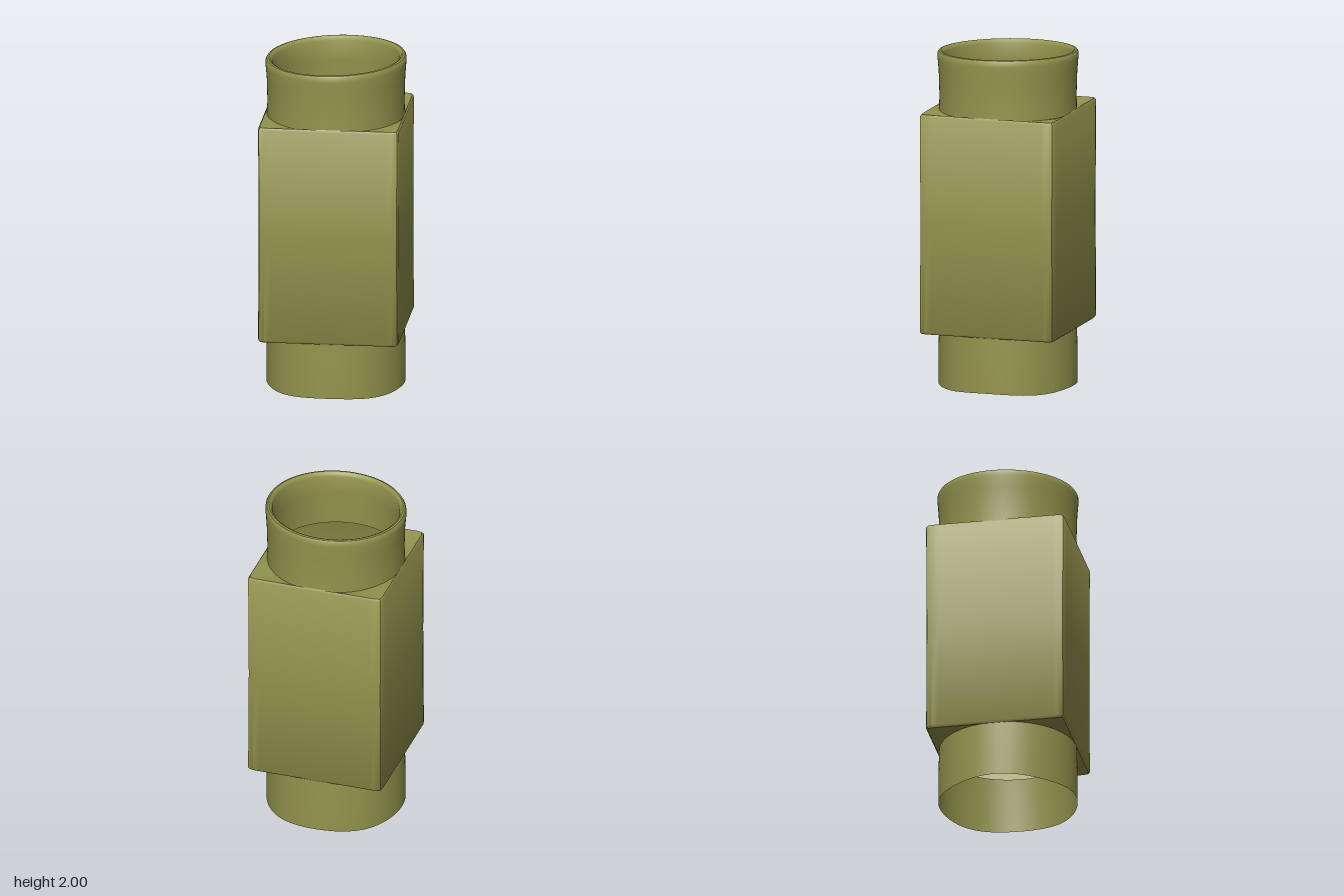
import * as THREE from 'three';
import { toCreasedNormals } from 'three/addons/utils/BufferGeometryUtils.js';

const SEG = 128;

// Distance from the axis: p = 2 gives a circle, a large p a rounded square
const radius = (r, p, t) =>
  r / Math.pow(Math.abs(Math.sin(t)) ** p + Math.abs(Math.cos(t)) ** p, 1 / p);

// Skin a stack of rings [y, radius, exponent, uneven(t)] into an open shell
function loft(rings) {
  const pos = [], index = [];
  for (const [y, r, p, uneven] of rings) {
    for (let j = 0; j <= SEG; j++) {
      const t = (j / SEG) * Math.PI * 2, d = radius(r, p, t);
      pos.push(d * Math.sin(t), y + (uneven ? uneven(t) : 0), d * Math.cos(t));
    }
  }
  for (let i = 0; i < rings.length - 1; i++) {
    for (let j = 0; j < SEG; j++) {
      const a = i * (SEG + 1) + j, b = a + SEG + 1;
      index.push(a, a + 1, b + 1, a, b + 1, b);
    }
  }
  const geo = new THREE.BufferGeometry();
  geo.setAttribute('position', new THREE.Float32BufferAttribute(pos, 3));
  geo.setIndex(index);
  return toCreasedNormals(geo, 0.7);
}

export function createModel() {
  const group = new THREE.Group();
  const olive = new THREE.MeshStandardMaterial({ color: 0x94944e, side: THREE.DoubleSide });
  olive.name = 'olive';

  const add = (name, rings) => {
    const mesh = new THREE.Mesh(loft(rings), olive);
    mesh.name = name;
    group.add(mesh);
  };

  // Slightly sloping top rim and wavy bottom edge
  const tilt = t => 0.012 * Math.sin(t) - 0.007 * Math.cos(t);
  const wave = t => 0.006 - 0.006 * Math.cos(4 * t + Math.PI);

  // Square hollow body with softened edges and flat shoulders
  add('squareBody', [
    [0.35, 0.402, 2],
    [0.345, 0.404, 40],
    [0.358, 0.413, 40],
    [1.0, 0.41, 40],
    [1.636, 0.413, 40],
    [1.65, 0.404, 40],
    [1.635, 0.402, 2],
  ]);

  // Thin round collar, open below
  add('lowerCollar', [
    [0.004, 0.406, 2, wave],
    [0.18, 0.406, 2],
    [0.35, 0.402, 2],
  ]);

  // Flared collar with a rounded lip turning into the inner wall
  add('upperCollar', [
    [1.635, 0.402, 2],
    [1.72, 0.4, 2],
    [1.86, 0.404, 2],
    [1.945, 0.411, 2, tilt],
    [1.972, 0.41, 2, tilt],
    [1.983, 0.403, 2, tilt],
    [1.986, 0.392, 2, tilt],
    [1.98, 0.38, 2, tilt],
    [1.96, 0.371, 2, tilt],
    [1.85, 0.374, 2],
    [1.64, 0.385, 2],
  ]);

  return group;
}
